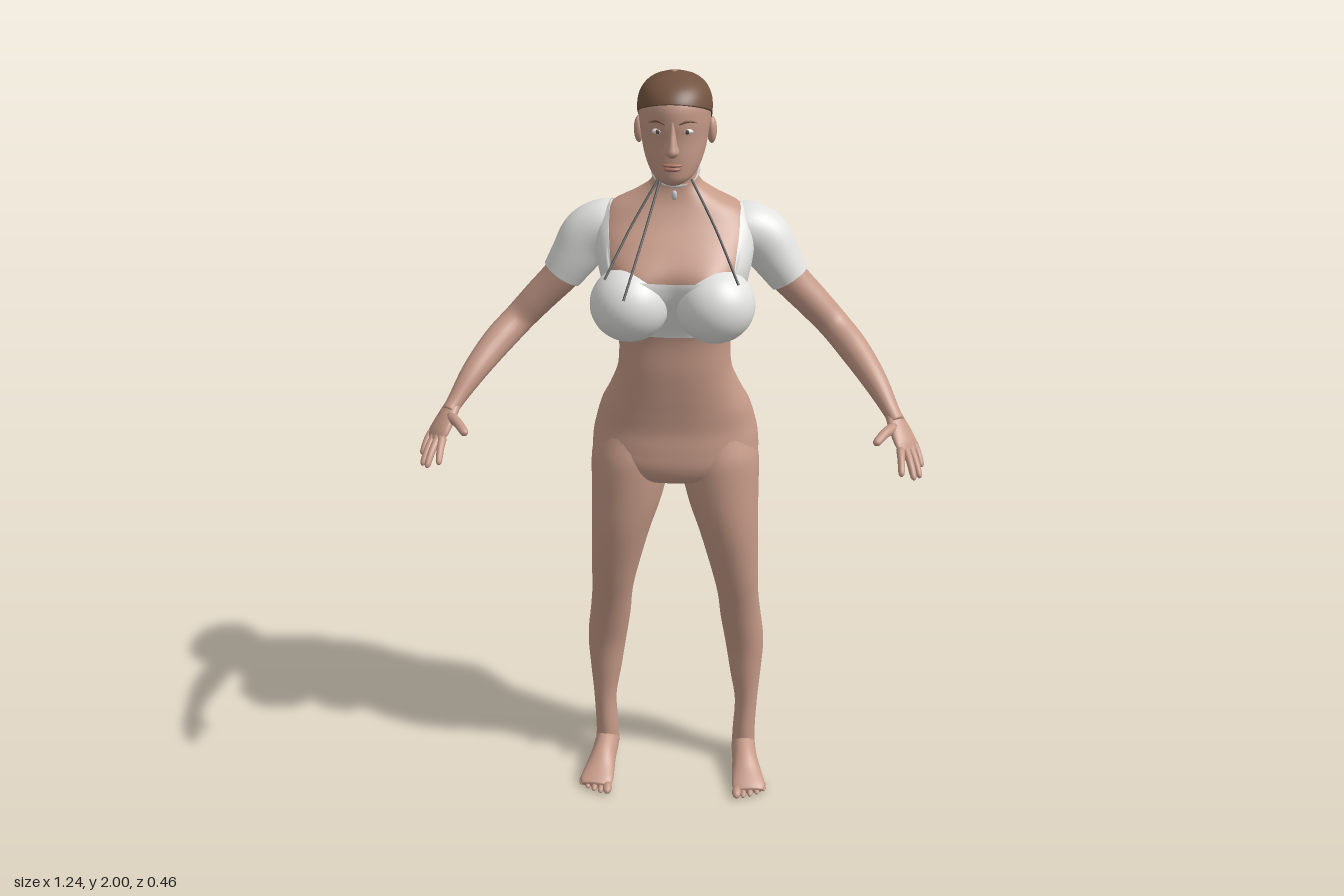
import * as THREE from 'three';

const mat = (name, color, side = THREE.FrontSide) => {
  const m = new THREE.MeshStandardMaterial({ color, side });
  m.name = name;
  return m;
};

// Smooth Hermite interpolation of rows [key, a, b, ...] at a key
function sample(rows, k) {
  const n = rows.length;
  let i = 0;
  while (i < n - 2 && k > rows[i + 1][0]) i++;
  const p = rows[i], q = rows[i + 1], h = q[0] - p[0];
  const f = Math.min(1, Math.max(0, (k - p[0]) / h));
  const slope = (j, c) => {
    const a = rows[Math.max(0, j - 1)], b = rows[Math.min(n - 1, j + 1)];
    return (b[c] - a[c]) / (b[0] - a[0]);
  };
  const f2 = f * f, f3 = f2 * f;
  return p.slice(1).map((v, c) => (2 * f3 - 3 * f2 + 1) * v + (f3 - 2 * f2 + f) * h * slope(i, c + 1)
    + (3 * f2 - 2 * f3) * q[c + 1] + (f3 - f2) * h * slope(i + 1, c + 1));
}

// Closed tube surface from fn(angle, v) -> [x, y, z]
function skinTube(fn, around, along, capped = true) {
  const pos = [], idx = [];
  for (let i = 0; i <= along; i++)
    for (let j = 0; j < around; j++) pos.push(...fn(j / around * Math.PI * 2, i / along));
  for (let i = 0; i < along; i++) for (let j = 0; j < around; j++) {
    const a = i * around + j, b = i * around + (j + 1) % around, c = a + around, d = b + around;
    idx.push(a, c, b, b, c, d);
  }
  if (capped) for (const row of [0, along]) {
    const c = [0, 0, 0], centre = pos.length / 3;
    for (let j = 0; j < around; j++) for (let k = 0; k < 3; k++) c[k] += pos[(row * around + j) * 3 + k] / around;
    pos.push(...c);
    for (let j = 0; j < around; j++) {
      const a = row * around + j, b = row * around + (j + 1) % around;
      if (row) idx.push(a, centre, b); else idx.push(a, b, centre);
    }
  }
  const g = new THREE.BufferGeometry();
  g.setAttribute('position', new THREE.Float32BufferAttribute(pos, 3));
  g.setIndex(idx);
  g.computeVertexNormals();
  return g;
}

// Limb through sections [x, y, z, radiusAcross, radiusAlongHint]
function limb(secs, hint, around = 24, steps = 6, capped = true) {
  const rows = secs.map((s, i) => [i, ...s]), n = secs.length - 1;
  const H = new THREE.Vector3(...hint);
  return skinTube((a, v) => {
    const k = v * n, s = sample(rows, k);
    const p = sample(rows, Math.max(0, k - 0.1)), q = sample(rows, Math.min(n, k + 0.1));
    const t = new THREE.Vector3(q[0] - p[0], q[1] - p[1], q[2] - p[2]).normalize();
    const u = t.clone().cross(H).normalize(), w = u.clone().cross(t);
    const e = u.multiplyScalar(s[3] * Math.cos(a)).addScaledVector(w, s[4] * Math.sin(a));
    return [s[0] + e.x, s[1] + e.y, s[2] + e.z];
  }, around, n * steps, capped);
}

const ball = (x, y, z, rx, ry, rz, seg = 20) =>
  new THREE.SphereGeometry(1, seg, Math.ceil(seg * 0.7)).scale(rx, ry, rz).translate(x, y, z);

function mirrored(g) {
  const m = g.clone().scale(-1, 1, 1), ix = m.index.array;
  for (let i = 0; i < ix.length; i += 3) [ix[i], ix[i + 1]] = [ix[i + 1], ix[i]];
  return m;
}

// Horizontal profile rows: [y, halfWidth, zFront, zBack]
const TORSO = [
  [0.935, 0.06, -0.03, -0.1], [0.96, 0.16, 0.015, -0.175], [1.0, 0.212, 0.032, -0.21], [1.05, 0.217, 0.03, -0.232],
  [1.1, 0.207, 0.024, -0.232], [1.15, 0.192, 0.026, -0.215], [1.2, 0.168, 0.03, -0.188], [1.27, 0.144, 0.034, -0.15],
  [1.37, 0.143, 0.035, -0.15], [1.44, 0.16, 0.06, -0.17], [1.5, 0.174, 0.08, -0.186], [1.55, 0.184, 0.08, -0.197],
  [1.6, 0.19, 0.04, -0.2], [1.64, 0.185, 0.0, -0.197], [1.675, 0.155, -0.025, -0.186], [1.7, 0.105, -0.037, -0.173],
  [1.73, 0.062, -0.043, -0.158], [1.78, 0.052, -0.038, -0.138], [1.83, 0.05, -0.03, -0.13]];
const HEAD = [
  [1.755, 0.018, 0.038, 0.005], [1.768, 0.042, 0.05, -0.04], [1.79, 0.06, 0.053, -0.095], [1.82, 0.072, 0.054, -0.135],
  [1.86, 0.08, 0.053, -0.162], [1.9, 0.085, 0.056, -0.176], [1.94, 0.084, 0.052, -0.176], [1.97, 0.07, 0.03, -0.156],
  [1.99, 0.043, -0.01, -0.118], [2.0, 0.006, -0.055, -0.07]];
const power = (v, e) => Math.sign(v) * Math.abs(v) ** e;
function ring(rows, a, y, e, off = 0) {
  const [w, zf, zb] = sample(rows, y);
  return [(w + off) * power(Math.cos(a), e), y, (zf + zb) / 2 + ((zf - zb) / 2 + off) * power(Math.sin(a), e)];
}
function torsoPoint(a, y, off = 0) {
  const p = ring(TORSO, a, y, 0.85, off), s = Math.sin(a);
  const bell = (v, c, r) => Math.exp(-(((v - c) / r) ** 2));
  if (s < 0) { // cleft between the hips, and a soft spine groove
    p[2] += -s * (0.06 * bell(p[0], 0, 0.028) * bell(y, 1.03, 0.085) + 0.012 * bell(p[0], 0, 0.035) * bell(y, 1.35, 0.2));
  } else p[2] += s * 0.035 * bell(Math.abs(p[0]), 0.1, 0.06) * bell(y, 1.5, 0.06);
  return p;
}
const mix = THREE.MathUtils.lerp;

export function createModel() {
  const root = new THREE.Group();
  root.name = 'figure';
  const skin = mat('skin', 0xc59a88), hair = mat('hair', 0x735340), cloth = mat('white cloth', 0xe2e2e0, THREE.DoubleSide);
  const cord = mat('dark cord', 0x50504f), silver = mat('silver', 0xc9c9c9), lip = mat('lips', 0xa97264);
  const white = mat('eye white', 0xe4dfda), iris = mat('iris', 0x5a4a40);
  const add = (name, g, m) => {
    const mesh = new THREE.Mesh(g, m);
    mesh.name = name;
    root.add(mesh);
  };
  const pair = (name, g, m) => { add(name + 'Left', g, m); add(name + 'Right', mirrored(g), m); };

  // Torso and neck
  add('torso', skinTube((a, v) => torsoPoint(a, mix(0.935, 1.83, v)), 72, 100), skin);

  // Legs and feet
  pair('leg', limb([
    [0.2, 0.04, -0.1, 0.034, 0.04], [0.2, 0.1, -0.1, 0.032, 0.039], [0.204, 0.2, -0.105, 0.032, 0.037],
    [0.2, 0.3, -0.112, 0.044, 0.047], [0.195, 0.4, -0.113, 0.054, 0.054], [0.182, 0.5, -0.097, 0.056, 0.057],
    [0.174, 0.58, -0.076, 0.056, 0.055], [0.165, 0.66, -0.066, 0.063, 0.067], [0.145, 0.8, -0.062, 0.08, 0.091],
    [0.128, 0.9, -0.067, 0.095, 0.101], [0.116, 1.0, -0.08, 0.104, 0.108], [0.11, 1.08, -0.085, 0.085, 0.09]], [0, 0, 1], 32), skin);
  pair('foot', limb([
    [0.2, 0.034, -0.143, 0.014, 0.018], [0.2, 0.038, -0.125, 0.031, 0.037], [0.2, 0.046, -0.085, 0.034, 0.046],
    [0.205, 0.04, -0.03, 0.036, 0.04], [0.212, 0.027, 0.02, 0.043, 0.027], [0.218, 0.018, 0.06, 0.047, 0.017],
    [0.22, 0.013, 0.08, 0.038, 0.01]], [0, 1, 0]), skin);
  for (let i = 0; i < 5; i++) {
    const r = i ? 0.0085 : 0.013;
    pair('toe' + (i + 1), ball(0.184 + i * 0.019, r, 0.088 - i * i * 0.0022, r, r, i ? 0.02 : 0.024, 12), skin);
  }

  // Arms
  const shoulder = [
    [0.14, 1.62, -0.112, 0.05, 0.066], [0.18, 1.607, -0.112, 0.062, 0.068], [0.22, 1.58, -0.108, 0.064, 0.062],
    [0.255, 1.532, -0.101, 0.054, 0.054], [0.285, 1.488, -0.098, 0.046, 0.048]];
  pair('arm', limb([...shoulder,
    [0.345, 1.425, -0.1, 0.042, 0.045], [0.4, 1.367, -0.095, 0.039, 0.042], [0.45, 1.322, -0.042, 0.038, 0.038],
    [0.5, 1.268, 0.025, 0.031, 0.033], [0.54, 1.212, 0.08, 0.021, 0.026], [0.555, 1.19, 0.102, 0.019, 0.026]], [0, 0, 1]), skin);

  // Hands: palm, four fingers and a thumb
  const across = [0.62, -0.1, -0.78];
  pair('palm', limb([
    [0.545, 1.205, 0.086, 0.018, 0.022], [0.56, 1.18, 0.113, 0.016, 0.034], [0.576, 1.152, 0.138, 0.014, 0.04],
    [0.585, 1.135, 0.155, 0.007, 0.036]], across), skin);
  const tips = [[0.562, 1.105, 0.23], [0.594, 1.092, 0.222], [0.61, 1.087, 0.2], [0.616, 1.1, 0.166]];
  const digit = (b, t, r) => limb([0, 0.5, 0.9, 1].map((f) => [
    mix(b[0], t[0], f), mix(b[1], t[1], f) + 0.024 * f * (1 - f), mix(b[2], t[2], f),
    r * (f === 1 ? 0.3 : 1 - 0.3 * f), r * (f === 1 ? 0.3 : 1 - 0.3 * f)]), across, 12, 4);
  tips.forEach((t, i) => {
    const o = (i - 1.5) * 0.02;
    pair('finger' + (i + 1), digit([0.58 + across[0] * o, 1.144 + across[1] * o, 0.146 + across[2] * o], t, 0.0105), skin);
  });
  pair('thumb', digit([0.545, 1.185, 0.125], [0.497, 1.172, 0.197], 0.014), skin);

  // Cropped top: body panel with square neckline, cups and sleeves
  const topEdge = (a) => {
    const s = Math.sin(a), neck = s > 0 ? 1.53 + 0.02 * Math.abs(Math.cos(a)) : 1.63;
    let y = 1.7;
    while (y > neck && Math.abs(torsoPoint(a, y)[0]) < 0.152) y -= 0.002;
    return Math.max(y, neck);
  };
  add('topBody', skinTube((a, v) => torsoPoint(a, mix(1.375, topEdge(a), v), 0.007), 128, 36, false), cloth);
  pair('topCup', ball(0.104, 1.465, 0.05, 0.097, 0.092, 0.095, 32), cloth);
  pair('sleeve', limb(shoulder.map((s) => [s[0], s[1], s[2], s[3] + 0.006, s[4] + 0.006]), [0, 0, 1], 32, 6, false), cloth);

  // Head, cropped hair and ears
  add('head', skinTube((a, v) => ring(HEAD, a, mix(1.755, 2.0, v), 1), 48, 48), skin);
  const hairline = (a) => {
    const s = Math.sin(a);
    return s > 0 ? mix(1.905, 1.947, s) : mix(1.905, 1.835, Math.min(1, -s * 1.5));
  };
  add('hair', skinTube((a, v) => ring(HEAD, a, mix(hairline(a), 2.0, v), 1, 0.003), 64, 28), hair);
  pair('ear', ball(0.087, 1.86, -0.078, 0.012, 0.032, 0.019), skin);

  // Face
  const NOSE = [[1.826, 0.008, 0.064, 0.03], [1.837, 0.017, 0.081, 0.03], [1.855, 0.012, 0.077, 0.03],
    [1.885, 0.008, 0.064, 0.03], [1.91, 0.007, 0.055, 0.03]];
  add('nose', skinTube((a, v) => ring(NOSE, a, mix(1.826, 1.91, v), 1), 16, 16), skin);
  pair('eye', ball(0.034, 1.884, 0.042, 0.014, 0.007, 0.008), white);
  pair('iris', ball(0.034, 1.884, 0.048, 0.005, 0.0055, 0.003, 12), iris);
  pair('eyebrow', limb([[0.016, 1.902, 0.053, 0.002, 0.003], [0.035, 1.908, 0.046, 0.003, 0.003],
    [0.055, 1.902, 0.031, 0.001, 0.002]], [0, 0, 1], 8), hair);
  add('upperLip', ball(0, 1.807, 0.051, 0.023, 0.005, 0.01), lip);
  add('lowerLip', ball(0, 1.798, 0.05, 0.02, 0.006, 0.011), lip);

  // Choker with pendant, and thin loose cords to the top
  const choker = new THREE.TorusGeometry(0.055, 0.0045, 8, 48).rotateX(Math.PI / 2).rotateX(0.5).translate(0, 1.757, -0.093);
  add('choker', choker, silver);
  add('pendant', ball(0, 1.712, -0.032, 0.007, 0.012, 0.005, 12), silver);
  const strand = (name, ...pts) => add(name, new THREE.TubeGeometry(
    new THREE.CatmullRomCurve3(pts.map((p) => new THREE.Vector3(...p))), 16, 0.003, 6), cord);
  strand('cordRightInner', [-0.035, 1.745, -0.05], [-0.07, 1.63, 0.045], [-0.11, 1.508, 0.15]);
  strand('cordRightOuter', [-0.04, 1.745, -0.055], [-0.1, 1.65, 0.02], [-0.158, 1.545, 0.11]);
  strand('cordLeft', [0.04, 1.745, -0.055], [0.1, 1.65, 0.02], [0.16, 1.54, 0.115]);
  return root;
}
